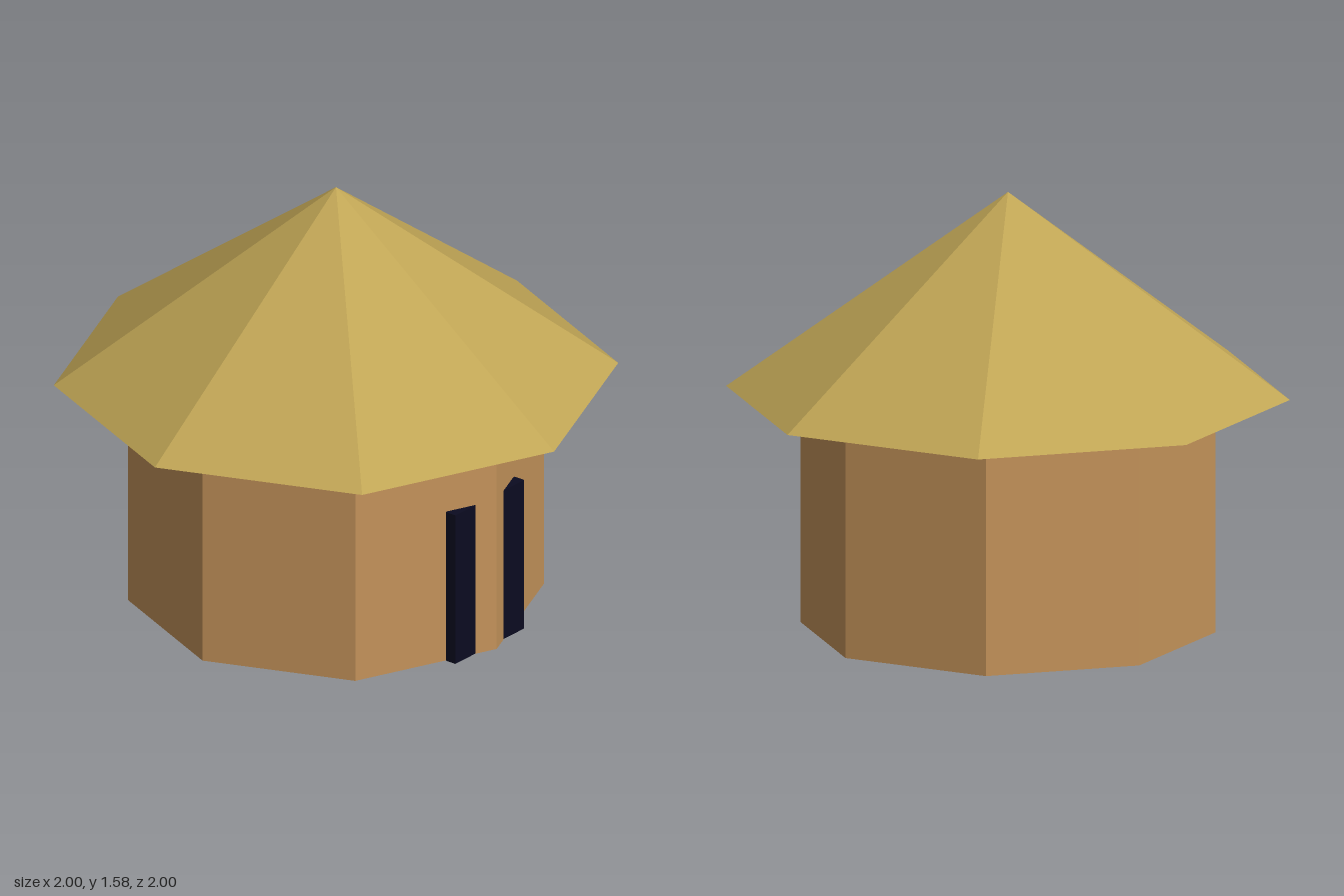
import * as THREE from 'three';

const SIDES = 8;
const WALL_RADIUS = 0.737;
const WALL_HEIGHT = 0.85;
const ROOF_RADIUS = 1;
const ROOF_HEIGHT = 0.73;

function flatMaterial(name, color) {
  const material = new THREE.MeshStandardMaterial({ color, flatShading: true });
  material.name = name;
  return material;
}

function addPart(group, name, geometry, material, x, y, z) {
  const mesh = new THREE.Mesh(geometry, material);
  mesh.name = name;
  mesh.position.set(x, y, z);
  group.add(mesh);
}

export function createModel() {
  const group = new THREE.Group();
  group.name = 'hut';

  const clay = flatMaterial('clay', 0xc4935a);
  const thatch = flatMaterial('thatch', 0xc0a555);
  const darkness = flatMaterial('doorway dark', 0x0b0b20);

  // Octagonal wall with a corner facing the front
  addPart(group, 'wall',
    new THREE.CylinderGeometry(WALL_RADIUS, WALL_RADIUS, WALL_HEIGHT, SIDES),
    clay, 0, WALL_HEIGHT / 2, 0);

  // Wide overhanging roof, closed underneath
  addPart(group, 'roof',
    new THREE.ConeGeometry(ROOF_RADIUS, ROOF_HEIGHT, SIDES),
    thatch, 0, WALL_HEIGHT + ROOF_HEIGHT / 2, 0);

  // Door slab: the wall's front corner pokes through its middle
  addPart(group, 'door',
    new THREE.BoxGeometry(0.38, 0.58, 0.043),
    darkness, 0, 0.291, 0.6835);

  return group;
}
